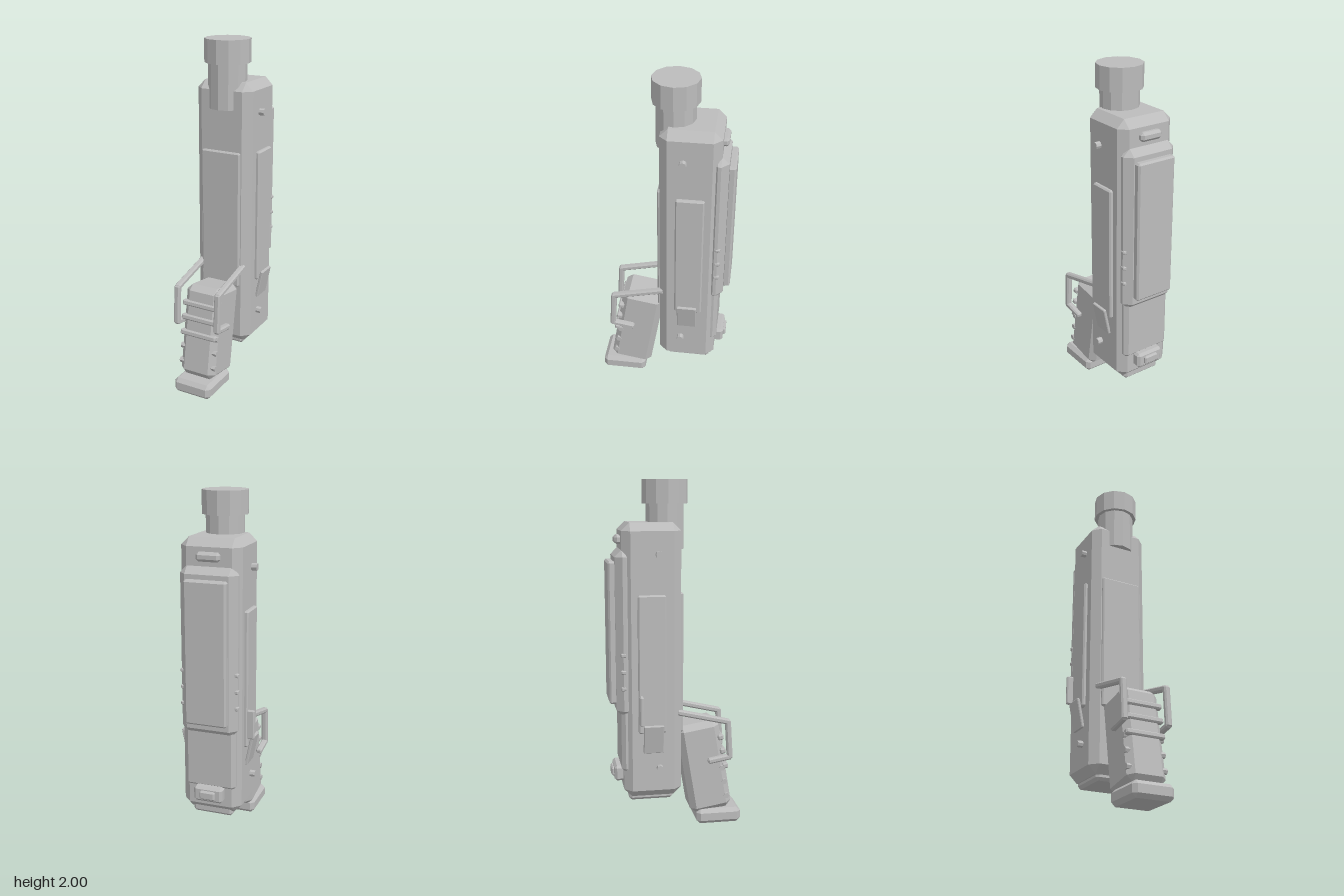
import * as THREE from 'three';
import { ConvexGeometry } from 'three/addons/geometries/ConvexGeometry.js';

const grey = new THREE.MeshStandardMaterial({ color: 0xbcbcbc });
grey.name = 'grey';

// Box with flat chamfers on every edge
function chamferBox(w, h, d, c) {
  const pts = [];
  for (const sx of [-1, 1]) for (const sy of [-1, 1]) for (const sz of [-1, 1]) {
    const x = w / 2, y = h / 2, z = d / 2;
    pts.push(
      new THREE.Vector3(sx * x, sy * (y - c), sz * (z - c)),
      new THREE.Vector3(sx * (x - c), sy * y, sz * (z - c)),
      new THREE.Vector3(sx * (x - c), sy * (y - c), sz * z));
  }
  return new ConvexGeometry(pts);
}

// Faceted cylinder
function prism(r, h, sides) {
  const g = new THREE.CylinderGeometry(r, r, h, sides).toNonIndexed();
  g.computeVertexNormals();
  return g;
}

export function createModel() {
  const model = new THREE.Group();
  // Everything is symmetric about a line slightly left of centre
  const root = new THREE.Group();
  root.name = 'device';
  root.position.x = 0.006;
  model.add(root);

  const add = (name, geo, x, y, z, parent = root) => {
    const m = new THREE.Mesh(geo, grey);
    m.name = name;
    m.position.set(x, y, z);
    parent.add(m);
    return m;
  };
  // Chamfered box given by its limits
  const block = (name, x0, x1, y0, y1, z0, z1, c, parent = root) =>
    add(name, chamferBox(x1 - x0, y1 - y0, z1 - z0, c),
      (x0 + x1) / 2, (y0 + y1) / 2, (z0 + z1) / 2, parent);

  // Main body with its foot
  block('body', -0.172, 0.172, 0.21, 1.77, -0.31, 0.02, 0.045);
  block('bodyFoot', -0.12, 0.12, 0.18, 0.26, -0.28, -0.025, 0.016);

  // Round top
  add('neck', prism(0.108, 0.27, 12), 0, 1.755, -0.052);
  add('topCap', prism(0.129, 0.13, 12), 0, 1.935, -0.052);

  // Front panel
  block('frontPanel', -0.121, 0.121, 0.58, 1.385, 0, 0.035, 0.008);

  // Back panels, screen plate and catches
  block('backPanel', -0.163, 0.163, 0.685, 1.625, -0.348, -0.25, 0.04);
  block('backPlate', -0.119, 0.119, 0.76, 1.56, -0.385, -0.34, 0.01);
  block('lowerBackPanel', -0.15, 0.15, 0.36, 0.74, -0.322, -0.25, 0.022);
  block('upperCatch', -0.066, 0.066, 1.65, 1.7, -0.34, -0.295, 0.014);
  block('lowerCatch', -0.085, 0.085, 0.29, 0.38, -0.36, -0.29, 0.014);
  block('lowerCatchButton', -0.045, 0.045, 0.31, 0.36, -0.375, -0.34, 0.008);

  // Paired side details
  for (const s of [-1, 1]) {
    add('sidePanel', chamferBox(0.04, 0.78, 0.158, 0.008), s * 0.172, 0.99, -0.151);
    const flap = add('sideFlap', chamferBox(0.018, 0.17, 0.113, 0.004), s * 0.191, 0.565, -0.146);
    flap.rotation.z = -s * 0.2;
    for (const y of [0.39, 1.6])
      add('pin', prism(0.02, 0.05, 8), s * 0.178, y, -0.11).rotation.z = Math.PI / 2;
    for (const y of [0.855, 0.95, 1.045])
      add('sideButton', chamferBox(0.03, 0.024, 0.032, 0.006), s * 0.152, y, -0.307);
  }
  block('sideTab', -0.228, -0.178, 0.65, 0.82, -0.226, -0.204, 0.006);

  // Tilted grip and its base
  const grip = new THREE.Group();
  grip.name = 'grip';
  grip.position.set(0, 0.348, 0.168);
  grip.rotation.x = -0.165;
  root.add(grip);
  add('gripBody', chamferBox(0.226, 0.545, 0.248, 0.034), 0, 0, 0, grip);
  for (const y of [0.165, 0.08, -0.012])
    add('gripRib', chamferBox(0.23, 0.032, 0.034, 0.007), 0, y, 0.12, grip);
  for (const s of [-1, 1]) for (const y of [-0.02, -0.105, -0.195])
    add('gripStud', prism(0.017, 0.035, 6), s * 0.1, y, 0.098, grip).rotation.z = Math.PI / 2;
  block('gripBase', -0.119, 0.119, 0, 0.09, 0.12, 0.385, 0.022);

  // Guard bars, one bent bar on each side of the grip
  const path = [[0.7, 0.005], [0.632, 0.295], [0.42, 0.308], [0.4, 0.19]];
  for (const s of [-1, 1]) {
    const guard = new THREE.Group();
    guard.name = 'guard';
    guard.position.x = s * 0.131;
    root.add(guard);
    for (let i = 0; i < 3; i++) {
      const [y0, z0] = path[i], [y1, z1] = path[i + 1];
      const len = Math.hypot(y1 - y0, z1 - z0) + 0.022;
      const bar = add('guardBar', chamferBox(0.036, len, 0.032, 0.008),
        0, (y0 + y1) / 2, (z0 + z1) / 2, guard);
      bar.rotation.x = Math.atan2(z1 - z0, y1 - y0);
    }
  }
  return model;
}
